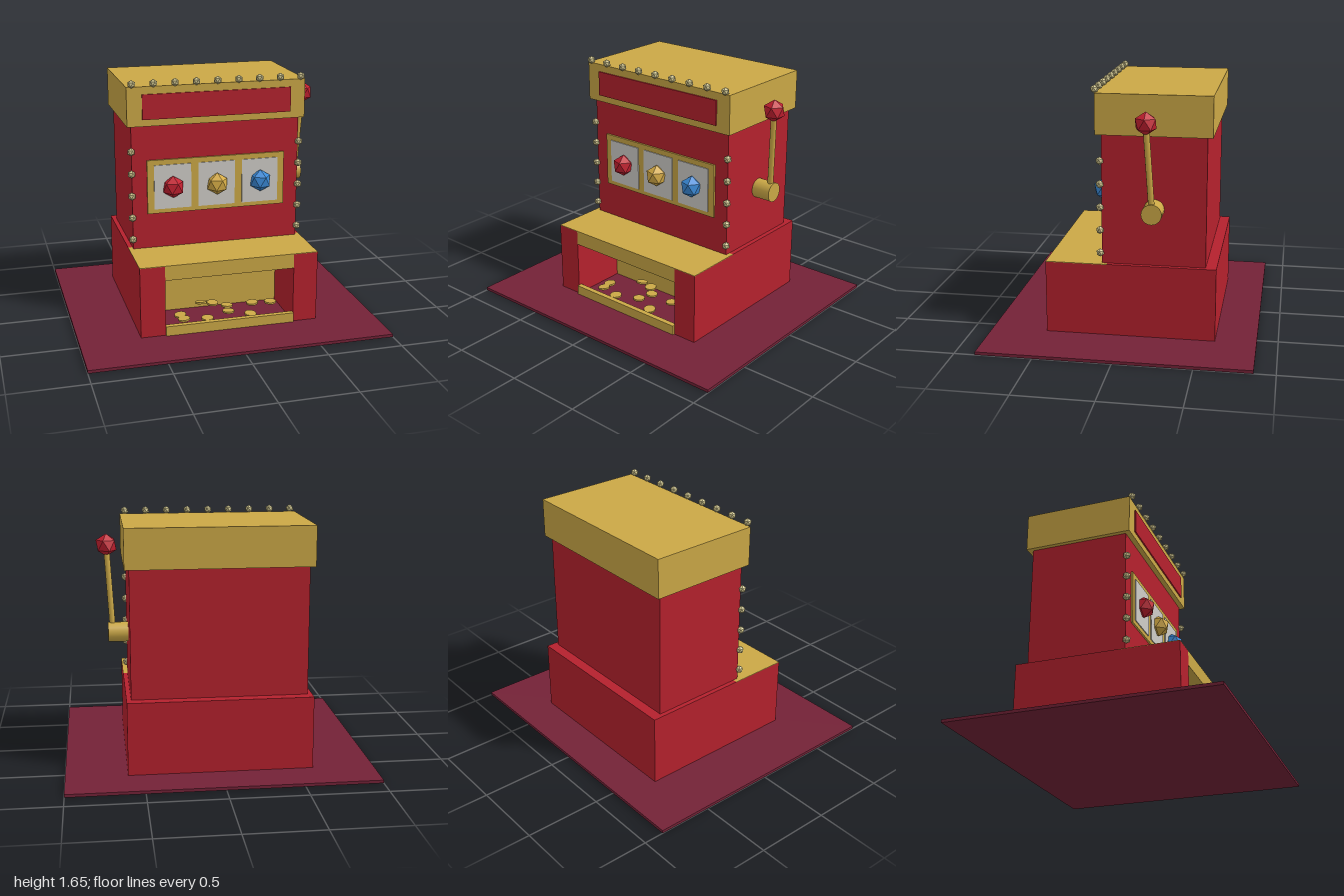
import * as THREE from 'three';

const mat = (name, color, flatShading = false) => {
  const m = new THREE.MeshStandardMaterial({ color, flatShading });
  m.name = name;
  return m;
};

export function createModel() {
  const root = new THREE.Group();
  root.name = 'slotMachine';

  const red = mat('cabinetRed', 0xb5212d);
  const gold = mat('trimGold', 0xcba846);
  const maroon = mat('carpetMaroon', 0x742237);
  const white = mat('reelWhite', 0xcfcdc8);
  const gemRed = mat('gemRed', 0xc42030, true);
  const gemGold = mat('gemGold', 0xd6ac46, true);
  const gemBlue = mat('gemBlue', 0x3a8ad8, true);
  const cream = mat('bulbCream', 0xd3c88f, true);

  const add = (name, geo, material, x = 0, y = 0, z = 0, parent = root) => {
    const m = new THREE.Mesh(geo, material);
    m.name = name;
    m.position.set(x, y, z);
    parent.add(m);
    return m;
  };
  // Box given by its limits on each axis
  const box = (name, material, [x0, x1], [y0, y1], [z0, z1]) =>
    add(name, new THREE.BoxGeometry(x1 - x0, y1 - y0, z1 - z0), material,
      (x0 + x1) / 2, (y0 + y1) / 2, (z0 + z1) / 2);
  // Twenty-sided ball standing on one of its corners
  const gem = (r) => new THREE.IcosahedronGeometry(r, 0)
    .rotateX(-Math.atan((1 + Math.sqrt(5)) / 2)).rotateY(Math.PI / 2);

  box('carpet', maroon, [-1, 1], [0, 0.02], [-0.865, 0.865]);

  // Base with an open payout tray
  box('baseBack', red, [-0.6, 0.6], [0.02, 0.5], [-0.6, 0.1]);
  for (const [name, s] of [['leftTrayWall', 1], ['rightTrayWall', -1]]) {
    box(name, red, s > 0 ? [0.435, 0.6] : [-0.6, -0.435], [0.02, 0.496], [0.1, 0.5]);
  }
  box('trayBack', gold, [-0.435, 0.435], [0.02, 0.4], [0.1, 0.11]);
  box('trayHeader', gold, [-0.435, 0.435], [0.4, 0.496], [0.1, 0.5]);
  box('ledgeTop', gold, [-0.6, 0.6], [0.496, 0.5], [0.1, 0.5]);
  box('trayLip', gold, [-0.435, 0.435], [0.02, 0.085], [0.48, 0.515]);

  // Loose coins in the tray
  const coins = new THREE.Group();
  coins.name = 'coins';
  root.add(coins);
  const coinGeo = new THREE.CylinderGeometry(0.04, 0.04, 0.012, 12);
  [[-0.29, 0.4], [-0.14, 0.44], [-0.12, 0.19], [-0.04, 0.19], [0.04, 0.27], [0.02, 0.38],
    [0.16, 0.43], [0.22, 0.27], [0.34, 0.3], [-0.3, 0.33]].forEach(([x, z], i) => {
    const c = add('coin', coinGeo, gold, x, 0.075 + (i % 3) * 0.007, z, coins);
    c.rotation.set(0.1 * Math.sin(i * 2.3), i, 0.1 * Math.cos(i * 1.7));
  });

  // Cabinet and top sign
  box('cabinet', red, [-0.57, 0.57], [0.5, 1.34], [-0.53, 0.135]);
  box('topBox', gold, [-0.6, 0.6], [1.34, 1.6], [-0.565, 0.17]);
  box('signPanel', red, [-0.5, 0.5], [1.385, 1.55], [0.17, 0.179]);

  // Reel display
  box('reelFrame', gold, [-0.47, 0.47], [0.74, 1.105], [0.135, 0.148]);
  [[-0.3, gemRed], [0, gemGold], [0.3, gemBlue]].forEach(([x, m]) => {
    box('reelWindow', white, [x - 0.125, x + 0.125], [0.77, 1.07], [0.148, 0.154]);
    add('reelSymbol', gem(0.075), m, x, 0.92, 0.165);
  });

  // Rows of light bulbs
  const bulbGeo = gem(0.027);
  for (let i = 0; i < 9; i++) add('topBulb', bulbGeo, cream, -0.567 + i * 0.1417, 1.62, 0.175);
  for (const s of [-1, 1]) {
    for (let i = 0; i < 5; i++) add('sideBulb', bulbGeo, cream, s * 0.574, 0.57 + i * 0.15, 0.145);
  }

  // Pull lever on the left side
  add('leverHub', new THREE.CylinderGeometry(0.065, 0.065, 0.13, 20).rotateZ(Math.PI / 2),
    gold, 0.635, 0.87, -0.2);
  const from = new THREE.Vector3(0.668, 0.87, -0.2);
  const to = new THREE.Vector3(0.7, 1.44, -0.165);
  const dir = to.clone().sub(from);
  const shaft = add('leverArm', new THREE.CylinderGeometry(0.02, 0.02, dir.length(), 10), gold);
  shaft.position.copy(from).add(to).multiplyScalar(0.5);
  shaft.quaternion.setFromUnitVectors(new THREE.Vector3(0, 1, 0), dir.normalize());
  add('leverKnob', gem(0.074), gemRed, to.x, to.y, to.z);

  return root;
}
